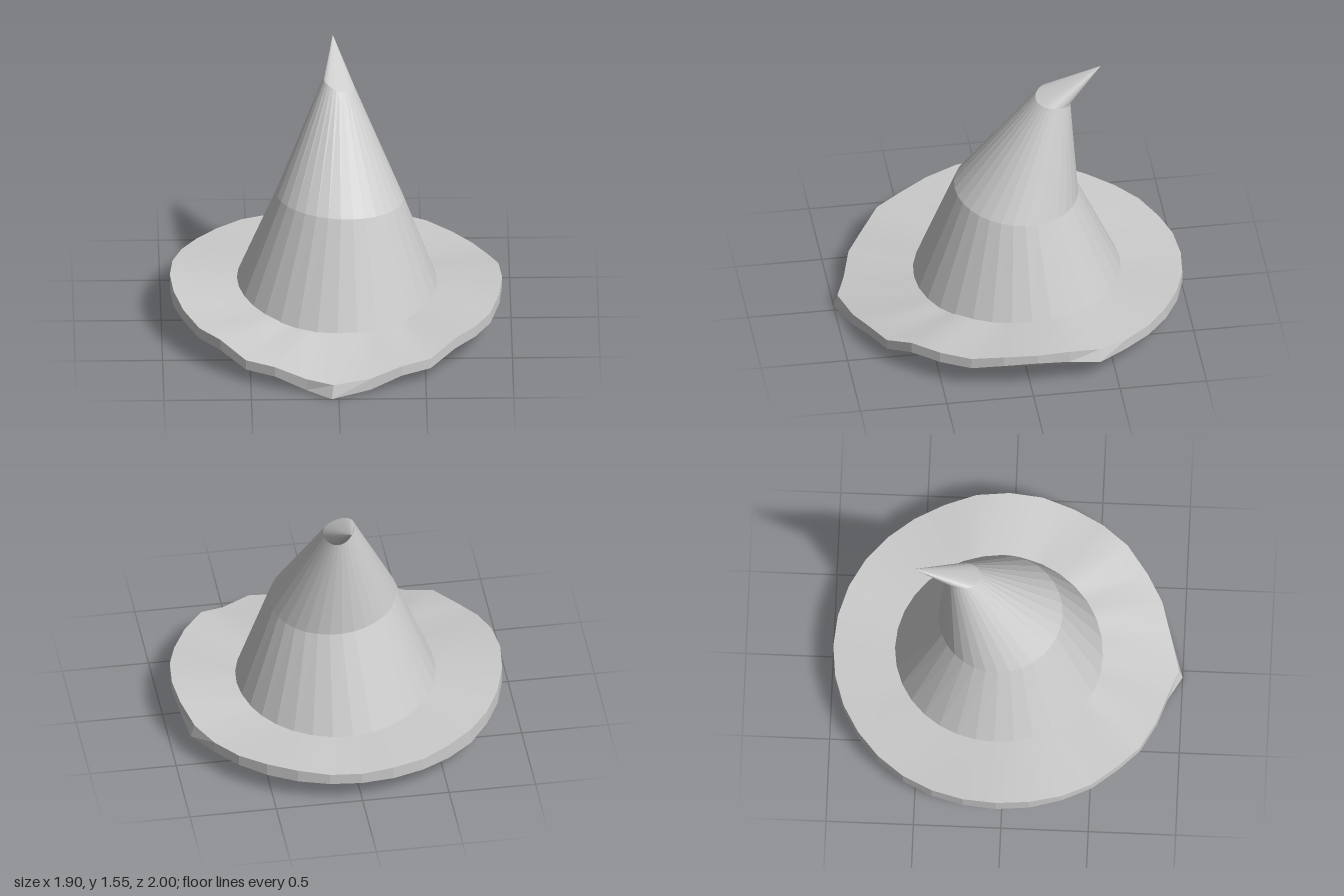
import * as THREE from 'three';

const SIDES = 32;

// Rim heights, every 11.25 degrees from the front, going round by the left (+x)
const TOP = [0.08, 0.09, 0.14, 0.14, 0.21, 0.21, 0.21, 0.24, 0.245, 0.24, 0.2, 0.19, 0.19, 0.2, 0.2, 0.19,
  0.19, 0.2, 0.2, 0.215, 0.22, 0.23, 0.25, 0.27, 0.28, 0.27, 0.24, 0.21, 0.21, 0.14, 0.14, 0.09];
const BOTTOM = [0, 0.02, 0.08, 0.08, 0.145, 0.145, 0.145, 0.18, 0.19, 0.17, 0.125, 0.125, 0.125, 0.125, 0.125, 0.125,
  0.125, 0.125, 0.125, 0.125, 0.125, 0.145, 0.16, 0.175, 0.18, 0.175, 0.17, 0.145, 0.145, 0.08, 0.08, 0.02];

// One ring of points; height(sin, cos, index) gives y
function ring(cx, cz, rx, rz, height) {
  return Array.from({ length: SIDES }, (_, i) => {
    const a = (i / SIDES) * Math.PI * 2;
    const s = Math.sin(a), c = Math.cos(a);
    return [cx + rx * s, height(s, c, i), cz + rz * c];
  });
}

function geometry(points, index) {
  const g = new THREE.BufferGeometry();
  g.setAttribute('position', new THREE.Float32BufferAttribute(points.flat(), 3));
  g.setIndex(index);
  g.computeVertexNormals();
  return g;
}

// Band between two rings
function band(lower, upper) {
  const index = [];
  for (let a = 0; a < SIDES; a++) {
    const b = (a + 1) % SIDES;
    index.push(a, b, b + SIDES, a, b + SIDES, a + SIDES);
  }
  return geometry([...lower, ...upper], index);
}

// Downward cap made of strips that run from front to back, mirrored in x
function underCap(rim) {
  const index = [];
  const mirror = (i) => (SIDES - i) % SIDES;
  const tri = (a, b, c) => index.push(a, b, c, mirror(a), mirror(c), mirror(b));
  for (let k = 0; k < 8; k++) {
    tri(k, 16 - k, 15 - k);
    if (k < 7) tri(k, 15 - k, k + 1);
  }
  return geometry(rim, index);
}

export function createModel() {
  const hat = new THREE.Group();
  hat.name = 'pointedHat';
  const settings = { color: 0xcccccc, side: THREE.DoubleSide };
  const smooth = new THREE.MeshStandardMaterial(settings);
  const faceted = new THREE.MeshStandardMaterial({ ...settings, flatShading: true });
  const add = (name, geo, material = faceted) => {
    const mesh = new THREE.Mesh(geo, material);
    mesh.name = name;
    hat.add(mesh);
  };

  // Wavy brim with a drooping corner at the front
  const under = ring(0, -0.03, 0.95, 0.97, (s, c, i) => BOTTOM[i]);
  under[0] = [-0.04, 0, 1];
  under[10][0] = 0.9;
  const rim = ring(0, -0.03, 0.95, 0.97, (s, c, i) => TOP[i]);
  rim[0] = [-0.03, 0.08, 0.98];
  const inner = ring(0, -0.055, 0.55, 0.557, (s, c) => 0.195 - 0.005 * c - 0.015 * s + 0.035 * s * s);
  add('brimUnderside', underCap(under));
  add('brimEdge', band(under, rim));
  add('brimTop', band(rim, inner), smooth);

  // Crown: lower cone set into the brim, then an upper cone leaning back
  const foot = ring(0, -0.055, 0.59, 0.597, () => 0.188);
  const middle = ring(0.022, -0.045, 0.365, 0.355, (s, c) => 0.775 + 0.025 * c - 0.02 * s);
  const bend = ring(0.02, -0.257, 0.09, 0.1, (s, c) => 1.368 + 0.015 * c - 0.028 * s + 0.02 * s * s);
  add('lowerCrown', band(foot, middle));
  add('upperCrown', band(middle, bend));

  // Tip folded sharply backwards
  const point = ring(-0.01, -0.54, 0, 0, () => 1.55);
  add('bentTip', band(bend, point));

  return hat;
}
